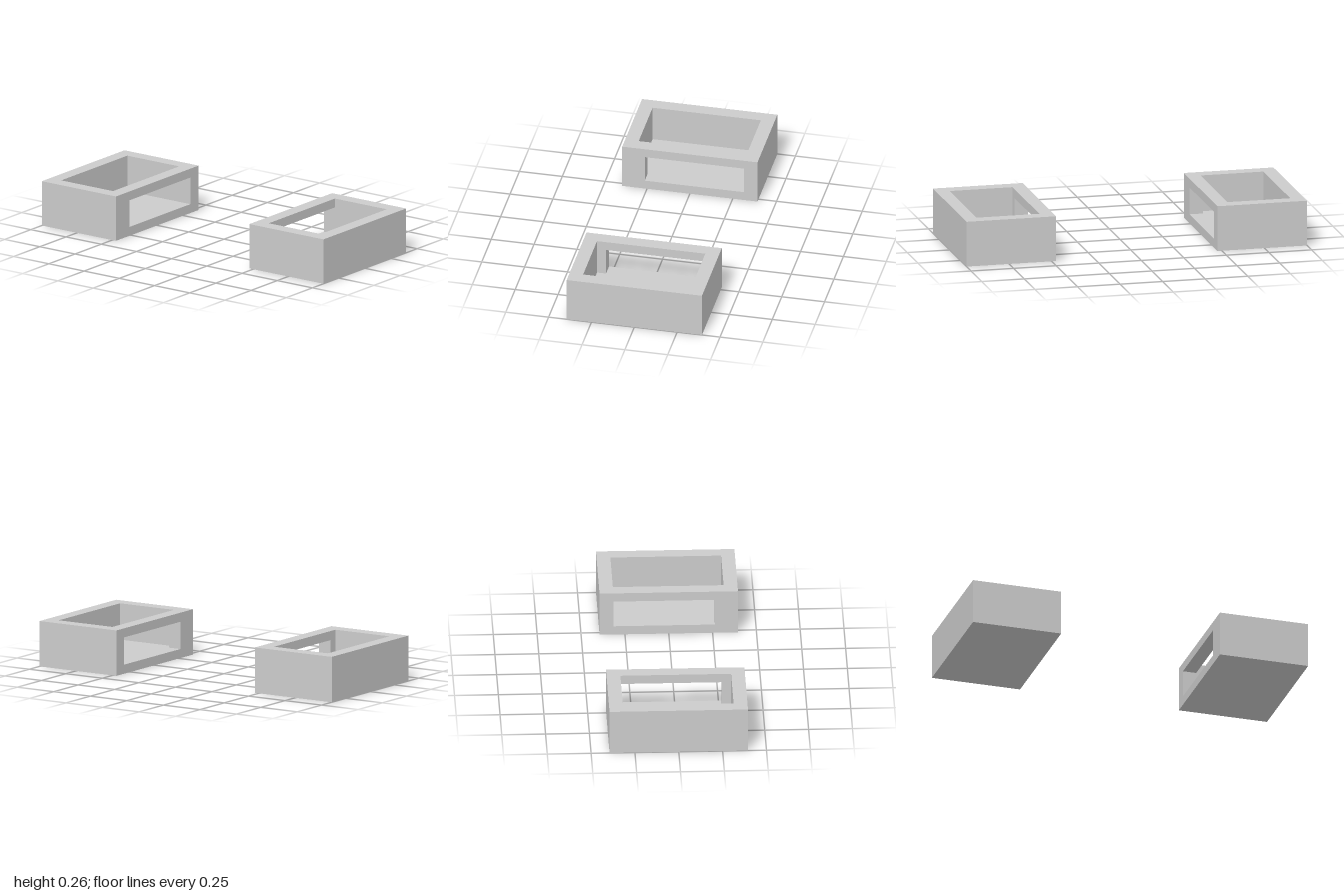
import * as THREE from 'three';
import { mergeGeometries } from 'three/addons/utils/BufferGeometryUtils.js';

const UNIT = 1 / 38; // design grid: each box is 20 x 10 x 30 units

// Rectangle outline
const rect = (u0, u1, v0, v1) => [[u0, v0], [u1, v0], [u1, v1], [u0, v1]];
const toVectors = (pts) => pts.map(([u, v]) => new THREE.Vector2(u, v));

// Flat panel across an axis (0 = x, 1 = y, 2 = z), facing dir along it.
// Outline coordinates are (y, z), (z, x) or (x, y); side mirrors x.
function panel(side, axis, dir, offset, outline, hole) {
  const shape = new THREE.Shape(toVectors(outline));
  if (hole) shape.holes.push(new THREE.Path(toVectors(hole)));
  const flat = new THREE.ShapeGeometry(shape).toNonIndexed();
  const src = flat.getAttribute('position');
  const flip = dir * side < 0;
  const out = [];
  for (let i = 0; i < src.count; i++) {
    // swap two corners of each triangle when the panel faces the other way
    const j = flip && i % 3 ? i - (i % 3) + 3 - (i % 3) : i;
    const p = [0, 0, 0];
    p[axis] = offset;
    p[(axis + 1) % 3] = src.getX(j);
    p[(axis + 2) % 3] = src.getY(j);
    out.push(p[0] * side * UNIT, p[1] * UNIT, p[2] * UNIT);
  }
  const geo = new THREE.BufferGeometry();
  geo.setAttribute('position', new THREE.Float32BufferAttribute(out, 3));
  geo.computeVertexNormals();
  return geo;
}

function createBox(side, material) {
  const box = new THREE.Group();
  box.name = side > 0 ? 'leftBox' : 'rightBox';
  const add = (name, panels) => {
    const mesh = new THREE.Mesh(mergeGeometries(panels.map((p) => panel(side, ...p))), material);
    mesh.name = name;
    box.add(mesh);
  };

  // Outside: base, open rim, end walls, solid wall and slotted wall
  add('outerShell', [
    [1, -1, 0, rect(-15, 15, 18, 38)],
    [1, 1, 10, rect(-15, 15, 18, 38), rect(-12, 12, 21, 35)],
    [2, 1, 15, rect(18, 38, 0, 10)],
    [2, -1, -15, rect(18, 38, 0, 10)],
    [0, 1, 38, rect(0, 10, -15, 15)],
    [0, -1, 18, rect(0, 10, -15, 15), rect(2, 8, -12, 10)],
  ]);

  // Inside: floor and back wall run on through the slot
  add('cavity', [
    [1, 1, 2, [[-12, 18], [-12, 35], [12, 35], [12, 21], [10, 21], [10, 18]]],
    [2, 1, -12, [[18, 2], [35, 2], [35, 10], [21, 10], [21, 8], [18, 8]]],
    [2, -1, 12, rect(21, 35, 2, 10)],
    [0, -1, 35, rect(2, 10, -12, 12)],
    [0, 1, 21, [[2, 10], [2, 12], [10, 12], [10, -12], [8, -12], [8, 10]]],
  ]);

  // Slot lintel and front jamb
  add('slotEdges', [
    [1, -1, 8, rect(-12, 10, 18, 21)],
    [2, -1, 10, rect(18, 21, 2, 8)],
  ]);
  return box;
}

export function createModel() {
  const model = new THREE.Group();
  model.name = 'slottedBoxPair';
  const material = new THREE.MeshStandardMaterial({ color: 0xcccccc, flatShading: true });
  for (const side of [1, -1]) model.add(createBox(side, material));
  return model;
}
